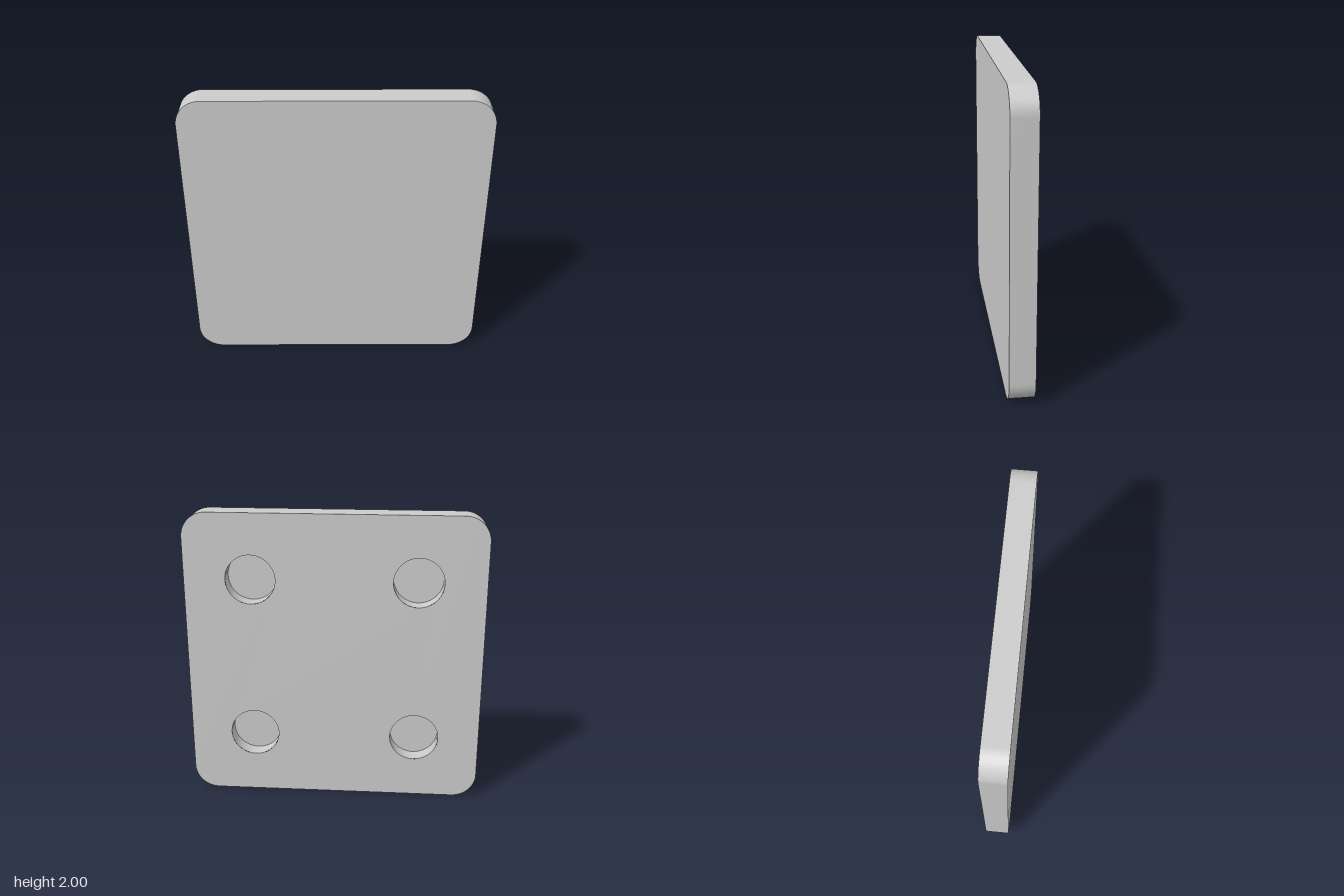
import * as THREE from 'three';
import { mergeGeometries, toCreasedNormals } from 'three/addons/utils/BufferGeometryUtils.js';

const HALF = 1, CORNER = 1 / 6, THICK = 1 / 6;
const HOLE_R = 1 / 6, HOLE_DEPTH = 1 / 9, HOLE_OFFSET = 5 / 9, SEGMENTS = 48;

// Square outline with rounded corners, centred on the origin
function plateShape() {
  const s = new THREE.Shape(), c = HALF - CORNER;
  s.absarc(c, c, CORNER, 0, Math.PI / 2);
  s.absarc(-c, c, CORNER, Math.PI / 2, Math.PI);
  s.absarc(-c, -c, CORNER, Math.PI, Math.PI * 1.5);
  s.absarc(c, -c, CORNER, Math.PI * 1.5, Math.PI * 2);
  s.closePath();
  return s;
}

// Side wall of an extrusion, without its two lids
function wallOnly(geometry) {
  const { start, count } = geometry.groups[1];
  const wall = new THREE.BufferGeometry();
  for (const name of ['position', 'normal', 'uv']) {
    const { array, itemSize } = geometry.attributes[name];
    const part = array.slice(start * itemSize, (start + count) * itemSize);
    wall.setAttribute(name, new THREE.BufferAttribute(part, itemSize));
  }
  return wall;
}

export function createModel() {
  const group = new THREE.Group();
  group.name = 'plate';
  const material = new THREE.MeshStandardMaterial({ color: 0xcccccc });
  const centres = [-1, 1].flatMap(x => [-1, 1].map(y => [x * HOLE_OFFSET, y * HOLE_OFFSET]));

  // Plate body: plain front face, rounded rim, back face pierced by four holes
  const outline = plateShape();
  const front = new THREE.ShapeGeometry(outline, 24).toNonIndexed().translate(0, 0, THICK / 2);
  const rim = wallOnly(new THREE.ExtrudeGeometry(outline, {
    depth: THICK, bevelEnabled: false, curveSegments: 24,
  })).translate(0, 0, -THICK / 2);

  const pierced = plateShape();
  for (const [x, y] of centres) {
    pierced.holes.push(new THREE.Path().absarc(x, y, HOLE_R, 0, Math.PI * 2, true));
  }
  const back = new THREE.ShapeGeometry(pierced, SEGMENTS).toNonIndexed()
    .rotateY(Math.PI).translate(0, 0, -THICK / 2);

  const body = new THREE.Mesh(toCreasedNormals(mergeGeometries([front, rim, back]), 0.6), material);
  body.name = 'plateBody';
  group.add(body);

  // Blind round pockets open to the back: wall, then floor
  const pocket = toCreasedNormals(new THREE.LatheGeometry([
    new THREE.Vector2(HOLE_R, 0),
    new THREE.Vector2(HOLE_R, -HOLE_DEPTH),
    new THREE.Vector2(0, -HOLE_DEPTH),
  ], SEGMENTS), 0.6).rotateX(-Math.PI / 2);
  centres.forEach(([x, y], i) => {
    const mesh = new THREE.Mesh(pocket, material);
    mesh.name = `backPocket${i + 1}`;
    mesh.position.set(x, y, -THICK / 2);
    group.add(mesh);
  });

  // Stand the plate on the ground
  group.children.forEach(part => { part.position.y += HALF; });
  return group;
}
